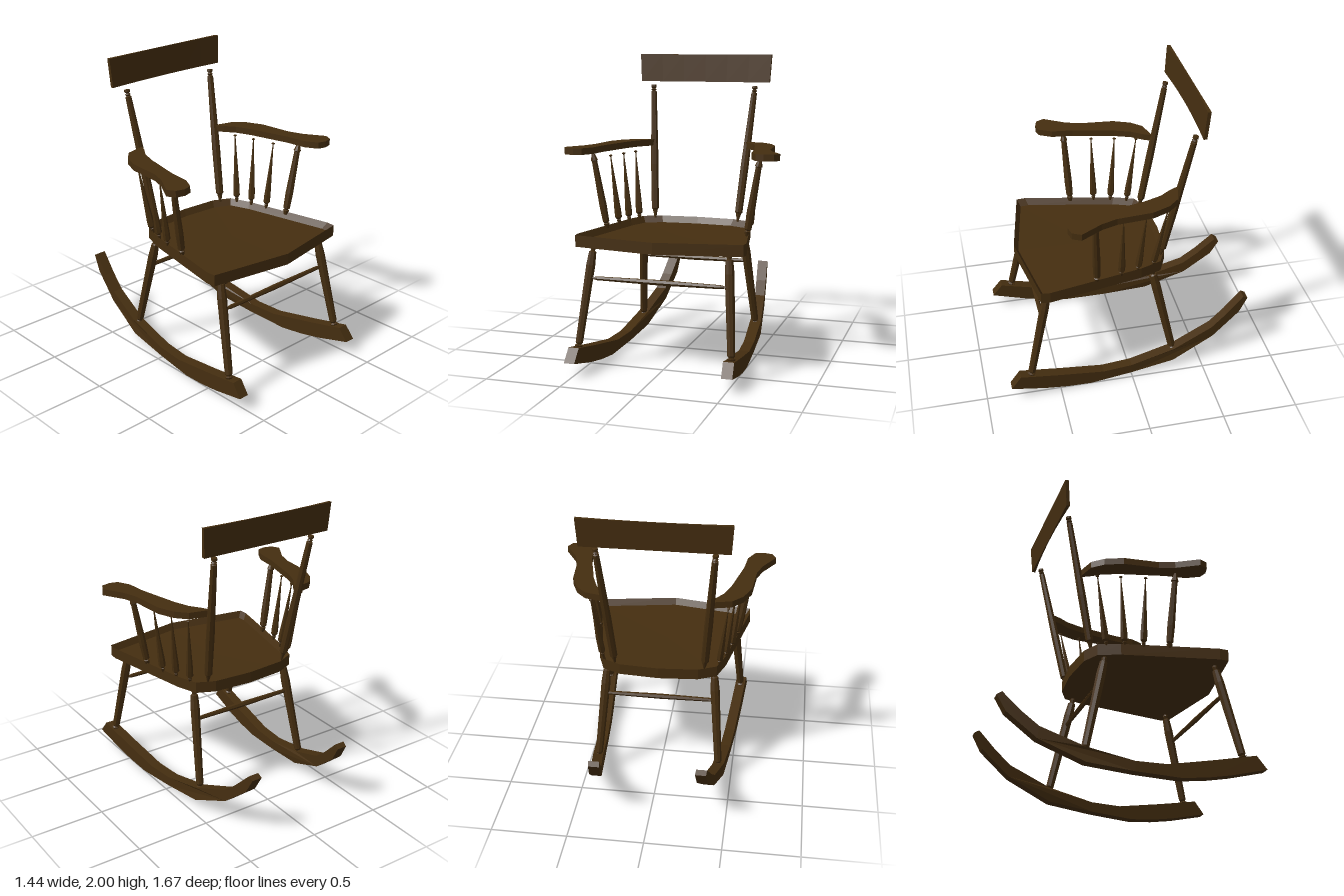
import * as THREE from 'three';

const wood = new THREE.MeshStandardMaterial({ color: 0x452e10, flatShading: true });
wood.name = 'darkWood';

const V = (x, y, z) => new THREE.Vector3(x, y, z);

function add(group, name, geometry) {
  const mesh = new THREE.Mesh(geometry, wood);
  mesh.name = name;
  group.add(mesh);
  return mesh;
}

// Turned stick between two points; profile is [fraction along, radius]
function turned(group, name, from, to, profile, sides = 8) {
  const dir = to.clone().sub(from);
  const len = dir.length();
  const pts = profile.map(([t, r]) => new THREE.Vector2(r, t * len));
  const mesh = add(group, name, new THREE.LatheGeometry(pts, sides));
  mesh.position.copy(from);
  mesh.quaternion.setFromUnitVectors(V(0, 1, 0), dir.normalize());
}

const LEG = [[0, 0], [0, 0.016], [0.03, 0.028], [0.04, 0.016], [0.06, 0.025], [0.8, 0.031],
  [0.93, 0.025], [0.94, 0.014], [0.97, 0.018], [1, 0.006], [1, 0]];
const POST = [[0, 0], [0, 0.006], [0.06, 0.018], [0.07, 0.026], [0.4, 0.028], [0.95, 0.02],
  [0.955, 0.01], [0.965, 0.019], [0.975, 0.01], [0.985, 0.02], [1, 0.018], [1, 0]];
const ARM_POST = [[0, 0], [0, 0.012], [0.06, 0.021], [0.07, 0.012], [0.09, 0.023], [0.3, 0.026],
  [0.88, 0.019], [0.89, 0.025], [0.92, 0.02], [1, 0.006], [1, 0]];
const SPINDLE = [[0, 0], [0, 0.007], [0.06, 0.014], [0.07, 0.01], [0.1, 0.023], [0.2, 0.023],
  [0.92, 0.004], [0.97, 0.004], [0.98, 0.012], [0.99, 0.012], [1, 0]];
const STRETCHER = [[0, 0], [0, 0.006], [0.04, 0.013], [0.5, 0.018], [0.96, 0.013], [1, 0.006], [1, 0]];

// Dished seat: scaled copies of one outline joined in rings
function seatGeometry() {
  const half = [[0.55, 0.61], [0.555, 0.55], [0.43, -0.07], [0.38, -0.21], [0.26, -0.265]];
  const outline = [[0, 0.705], ...half, [0, -0.285], ...half.map(([x, z]) => [-x, z]).reverse()];
  const rings = [[0.8, 0], [0.8, 1], [0.875, 1], [0.832, 0.945], [0.83, 0]];
  const n = outline.length;
  const pos = [];
  const index = [];
  for (const [y, s] of rings)
    for (const [x, z] of outline) pos.push(x * s, y, 0.2 + (z - 0.2) * s);
  for (let r = 0; r < rings.length - 1; r++) {
    for (let i = 0; i < n; i++) {
      const a = r * n + i, b = r * n + (i + 1) % n;
      if (rings[r][1] > 0) index.push(a, b, b + n);
      if (rings[r + 1][1] > 0) index.push(a, b + n, a + n);
    }
  }
  const g = new THREE.BufferGeometry();
  g.setAttribute('position', new THREE.Float32BufferAttribute(pos, 3));
  g.setIndex(index);
  g.computeVertexNormals();
  return g;
}

// Curved runner, converging towards the back
function rockerGeometry(side) {
  const outline = [[0.835, 0.1], [0.6, 0.045], [0.45, 0.02], [0.287, 0.005], [0, 0.025], [-0.3, 0.06],
    [-0.59, 0.19], [-0.78, 0.35], [-0.838, 0.455], [-0.806, 0.475], [-0.685, 0.355], [-0.58, 0.268],
    [-0.3, 0.155], [0, 0.09], [0.2, 0.085], [0.5, 0.135], [0.77, 0.185]];
  const shape = new THREE.Shape(outline.map(([z, y]) => new THREE.Vector2(z, y)));
  const g = new THREE.ExtrudeGeometry(shape, { depth: 0.07, bevelEnabled: false });
  g.rotateY(-Math.PI / 2).translate(0.035, 0, 0);
  const p = g.attributes.position;
  for (let i = 0; i < p.count; i++) {
    const z = p.getZ(i);
    const slope = z > -0.3 ? 0.08 : 0.145;
    p.setX(i, p.getX(i) + side * (0.419 + slope * (z + 0.3)));
  }
  g.computeVertexNormals();
  return g;
}

// Flat arm widening into a rounded hand rest
function armGeometry(side) {
  const outline = [[0.33, -0.32], [0.47, -0.285], [0.535, -0.215], [0.583, -0.1], [0.602, 0.13], [0.635, 0.23],
    [0.718, 0.37], [0.69, 0.425], [0.63, 0.44], [0.575, 0.425], [0.53, 0.34], [0.515, 0.2],
    [0.45, -0.08], [0.41, -0.19], [0.36, -0.26]];
  const shape = new THREE.Shape(outline.map(([x, z]) => new THREE.Vector2(side * x, -z)));
  const g = new THREE.ExtrudeGeometry(shape, { depth: 0.043, bevelEnabled: false });
  return g.rotateX(-Math.PI / 2).translate(0, 1.366, 0);
}

// Crest rail: hollowed front, straight back, leaning and flaring at the top
function crestGeometry() {
  const g = new THREE.BoxGeometry(0.94, 0.19, 0.006, 6, 1, 1);
  const p = g.attributes.position;
  for (let i = 0; i < p.count; i++) {
    const x = p.getX(i), y = p.getY(i), z = p.getZ(i);
    const hollow = z > 0 ? 0.017 * (x / 0.47) ** 2 : 0;
    p.setXYZ(i, x * (1 + y * 0.12), y + 1.905, z - 0.459 - y * 0.075 + hollow);
  }
  g.computeVertexNormals();
  return g;
}

export function createModel() {
  const chair = new THREE.Group();
  chair.name = 'rockingChair';

  add(chair, 'seat', seatGeometry());
  add(chair, 'crestRail', crestGeometry());

  for (const [side, label] of [[1, 'left'], [-1, 'right']]) {
    const half = new THREE.Group();
    half.name = label + 'Side';
    chair.add(half);
    const P = (x, y, z) => V(side * x, y, z);

    add(half, 'rocker', rockerGeometry(side));
    add(half, 'armrest', armGeometry(side));
    turned(half, 'frontLeg', P(0.503, 0.16, 0.697), P(0.447, 0.81, 0.552), LEG);
    turned(half, 'backLeg', P(0.415, 0.13, -0.302), P(0.36, 0.81, -0.155), LEG);
    turned(half, 'backPost', P(0.298, 0.865, -0.228), P(0.368, 1.785, -0.414), POST);
    turned(half, 'armPost', P(0.478, 0.86, 0.235), P(0.567, 1.37, 0.257), ARM_POST);

    // Three tapering spindles under each arm
    for (const [x0, z0, x1, z1] of [[0.455, 0.07, 0.515, 0.07], [0.425, -0.045, 0.48, -0.088], [0.39, -0.155, 0.445, -0.235]])
      turned(half, 'armSpindle', P(x0, 0.86, z0), P(x1, 1.335, z1), SPINDLE, 6);
  }

  // Cross stretchers between the leg pairs
  turned(chair, 'frontStretcher', V(-0.44, 0.602, 0.6), V(0.44, 0.602, 0.6), STRETCHER, 6);
  turned(chair, 'backStretcher', V(-0.375, 0.602, -0.2), V(0.375, 0.602, -0.2), STRETCHER, 6);

  return chair;
}
